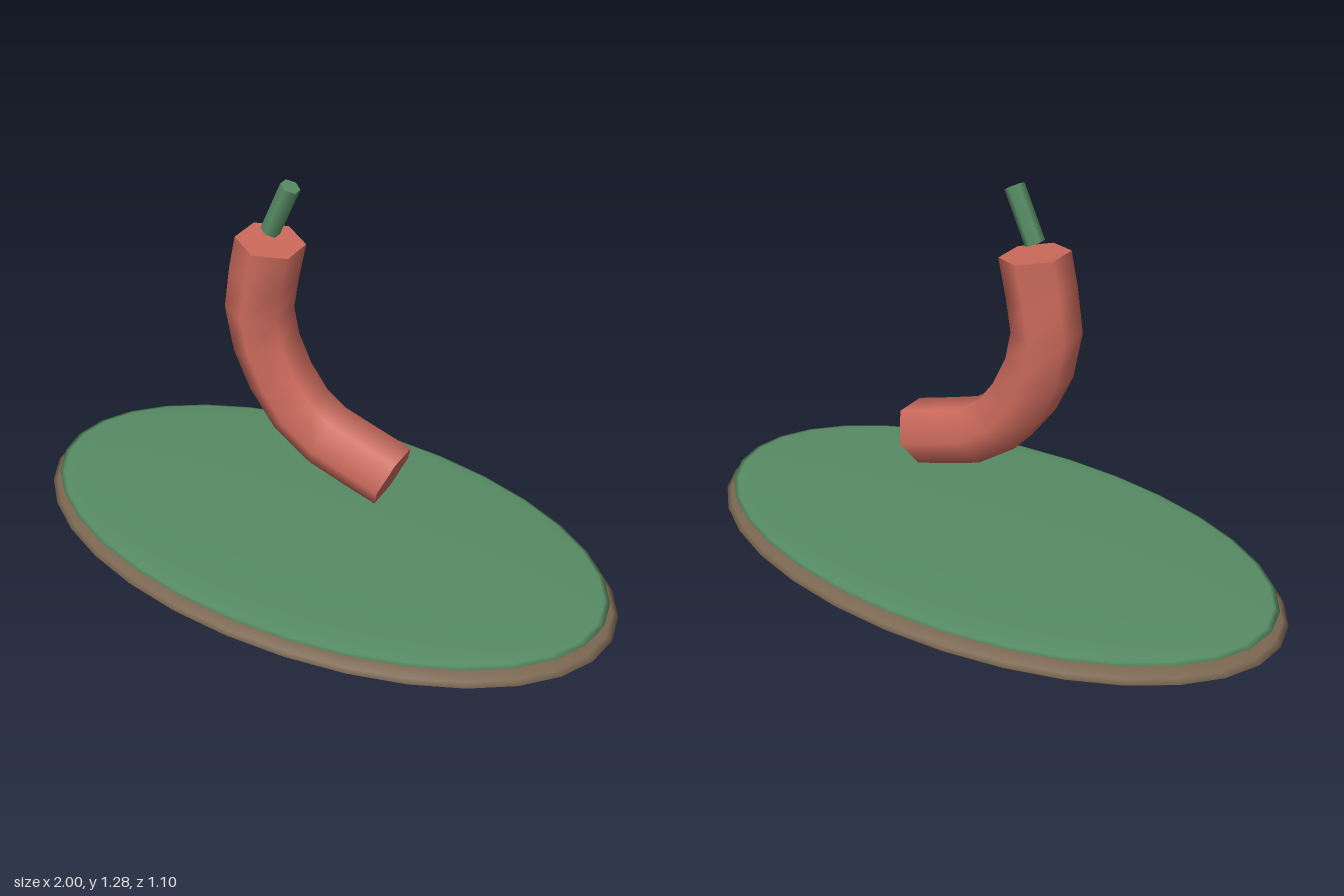
import * as THREE from 'three';

const material = (color) => new THREE.MeshStandardMaterial({ color });

function add(group, name, geometry, mat) {
  const mesh = new THREE.Mesh(geometry, mat);
  mesh.name = name;
  group.add(mesh);
  return mesh;
}

export function createModel() {
  const model = new THREE.Group();
  const brown = material(0x7a6650);
  const green = material(0x578c64);
  const red = material(0xcc6a5c);

  // Flat oval plate with a thin green layer on top
  const disc = (name, mat, y, rx, ry, rz) => {
    const mesh = add(model, name, new THREE.SphereGeometry(1, 32, 16), mat);
    mesh.scale.set(rx, ry, rz);
    mesh.position.y = y;
  };
  disc('plate', brown, 0.06, 1, 0.06, 0.55);
  disc('leafLayer', green, 0.105, 0.97, 0.02, 0.525);

  // Curved six-sided body
  const body = new THREE.Group();
  body.name = 'body';
  model.add(body);
  const radius = 0.104;
  const curve = new THREE.CatmullRomCurve3([
    new THREE.Vector3(0.26, 0.388, 0),
    new THREE.Vector3(-0.04, 0.505, 0),
    new THREE.Vector3(-0.2, 0.8, 0),
    new THREE.Vector3(-0.16, 1.083, 0),
  ]);
  add(body, 'bodyTube', new THREE.TubeGeometry(curve, 8, radius, 6, false), red);

  // Hexagonal end caps, facing outwards with corners on the z axis
  for (const end of [0, 1]) {
    const cap = add(body, end ? 'topCap' : 'bottomCap', new THREE.CircleGeometry(radius, 6), red);
    const out = curve.getTangentAt(end).multiplyScalar(end ? 1 : -1);
    const side = new THREE.Vector3(0, 0, 1);
    const up = new THREE.Vector3().crossVectors(out, side);
    cap.quaternion.setFromRotationMatrix(new THREE.Matrix4().makeBasis(side, up, out));
    cap.position.copy(curve.getPointAt(end));
  }

  // Tilted stem
  const stem = add(model, 'stem', new THREE.CylinderGeometry(0.03, 0.03, 0.17, 6), green);
  stem.position.set(-0.125, 1.193, 0);
  stem.rotation.z = -0.42;

  return model;
}
